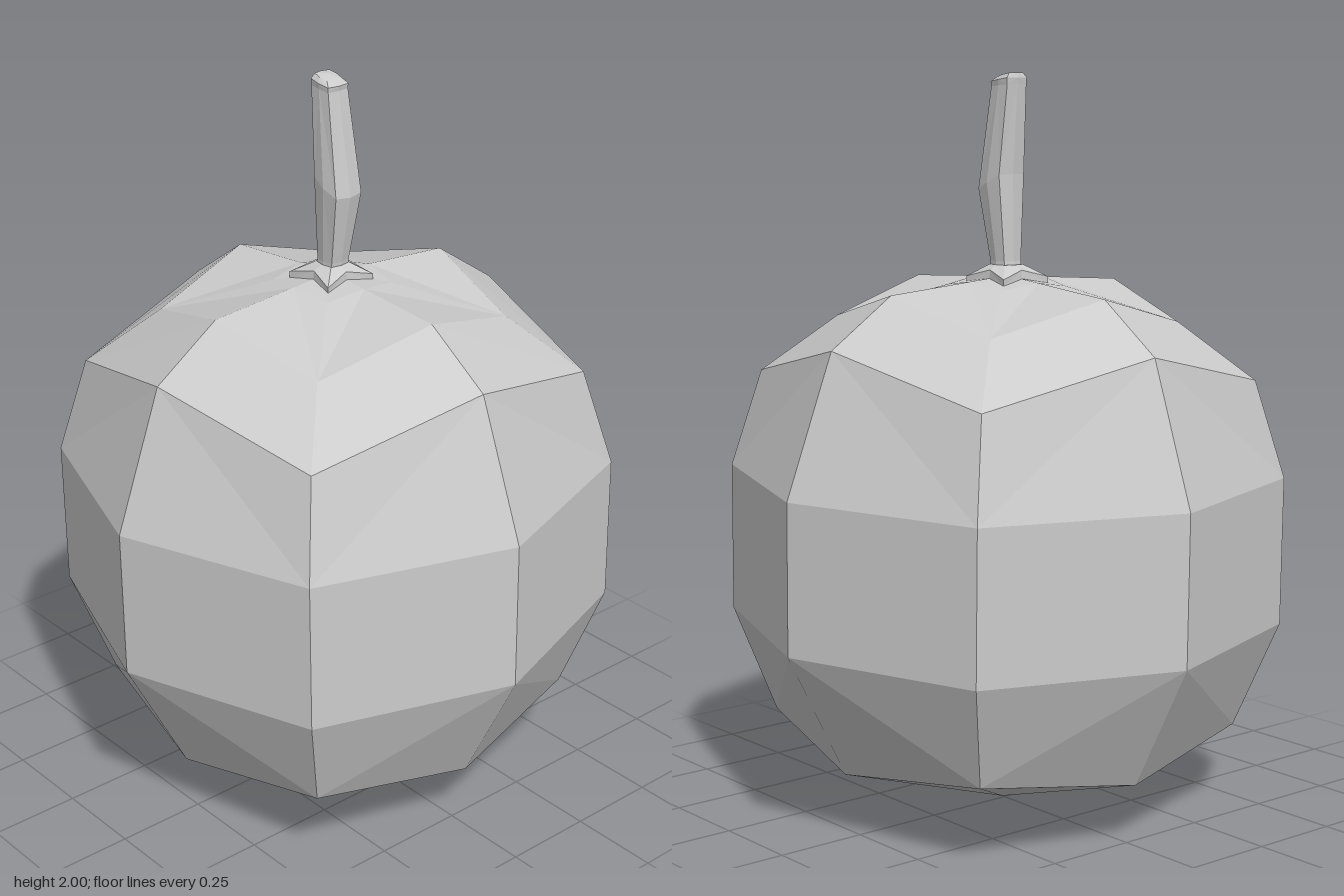
import * as THREE from 'three';

const SIDES = 8;

// Skin eight-sided rings listed from bottom to top.
// c, d: reach of the straight and corner points along an axis; y, dy: their height and corner offset;
// x: sideways shift; tilt: height change per unit of x.
function loft(name, rings) {
  const point = ({ c, d, y, dy = 0, x = 0, tilt = 0 }, i) => {
    const a = (i % SIDES) * Math.PI / 4;
    const corner = i % 2 === 1;
    const r = corner ? d * Math.SQRT2 : c;
    const px = Math.sin(a) * r;
    return new THREE.Vector3(x + px, y + (corner ? dy : 0) + px * tilt, Math.cos(a) * r);
  };
  const pos = [];
  const tri = (...pts) => {
    const [a, b, c] = pts;
    const area = b.clone().sub(a).cross(c.clone().sub(a)).length();
    if (area > 1e-8) pts.forEach(p => pos.push(p.x, p.y, p.z));
  };
  for (let k = 0; k < rings.length - 1; k++) {
    for (let i = 0; i < SIDES; i++) {
      const a = point(rings[k], i), b = point(rings[k], i + 1);
      const c = point(rings[k + 1], i + 1), e = point(rings[k + 1], i);
      // mirror the diagonal from side to side so the facets stay symmetrical
      if (i % 2) { tri(a, b, c); tri(a, c, e); }
      else { tri(a, b, e); tri(b, c, e); }
    }
  }
  const geo = new THREE.BufferGeometry();
  geo.setAttribute('position', new THREE.Float32BufferAttribute(pos, 3));
  geo.computeVertexNormals();
  const mesh = new THREE.Mesh(geo, new THREE.MeshStandardMaterial({ color: 0xcccccc, flatShading: true }));
  mesh.name = name;
  return mesh;
}

export function createModel() {
  const group = new THREE.Group();
  group.name = 'gourd';

  // Faceted body, dished around the stem
  const body = loft('body', [
    { c: 0, d: 0, y: 0 },
    { c: 0.54, d: 0.45, y: 0.172, dy: 0.06 },
    { c: 0.72, d: 0.535, y: 0.52 },
    { c: 0.72, d: 0.535, y: 0.925 },
    { c: 0.58, d: 0.475, y: 1.30, dy: -0.11 },
    { c: 0.39, d: 0.325, y: 1.43, dy: -0.085 },
    { c: 0.13, d: 0.11, y: 1.45, dy: -0.015 },
    { c: 0, d: 0, y: 1.46 },
  ]);
  // Slight lean
  body.rotation.z = 0.014;
  body.position.x = 0.01;
  group.add(body);

  // Four-pointed collar with drooping tips
  group.add(loft('stemCollar', [
    { c: 0, d: 0, y: 1.44, x: -0.012 },
    { c: 0.062, d: 0.078, y: 1.455, dy: -0.015, x: -0.012 },
    { c: 0.06, d: 0.078, y: 1.478, dy: -0.02, x: -0.012 },
    { c: 0.038, d: 0.032, y: 1.49, x: -0.008 },
    { c: 0, d: 0, y: 1.49, x: -0.008 },
  ]));

  // Crooked stem with a bevelled tip
  group.add(loft('stem', [
    { c: 0.036, d: 0.03, y: 1.46, x: -0.01 },
    { c: 0.034, d: 0.029, y: 1.50, x: -0.005 },
    { c: 0.05, d: 0.043, y: 1.71, x: 0.014, tilt: -0.45 },
    { c: 0.036, d: 0.033, y: 1.965, x: -0.018, tilt: -0.1 },
    { c: 0.038, d: 0.034, y: 1.98, x: -0.018, tilt: -0.15 },
    { c: 0.028, d: 0.024, y: 1.993, x: -0.024, tilt: -0.2 },
    { c: 0, d: 0, y: 1.998, x: -0.024 },
  ]));

  return group;
}
